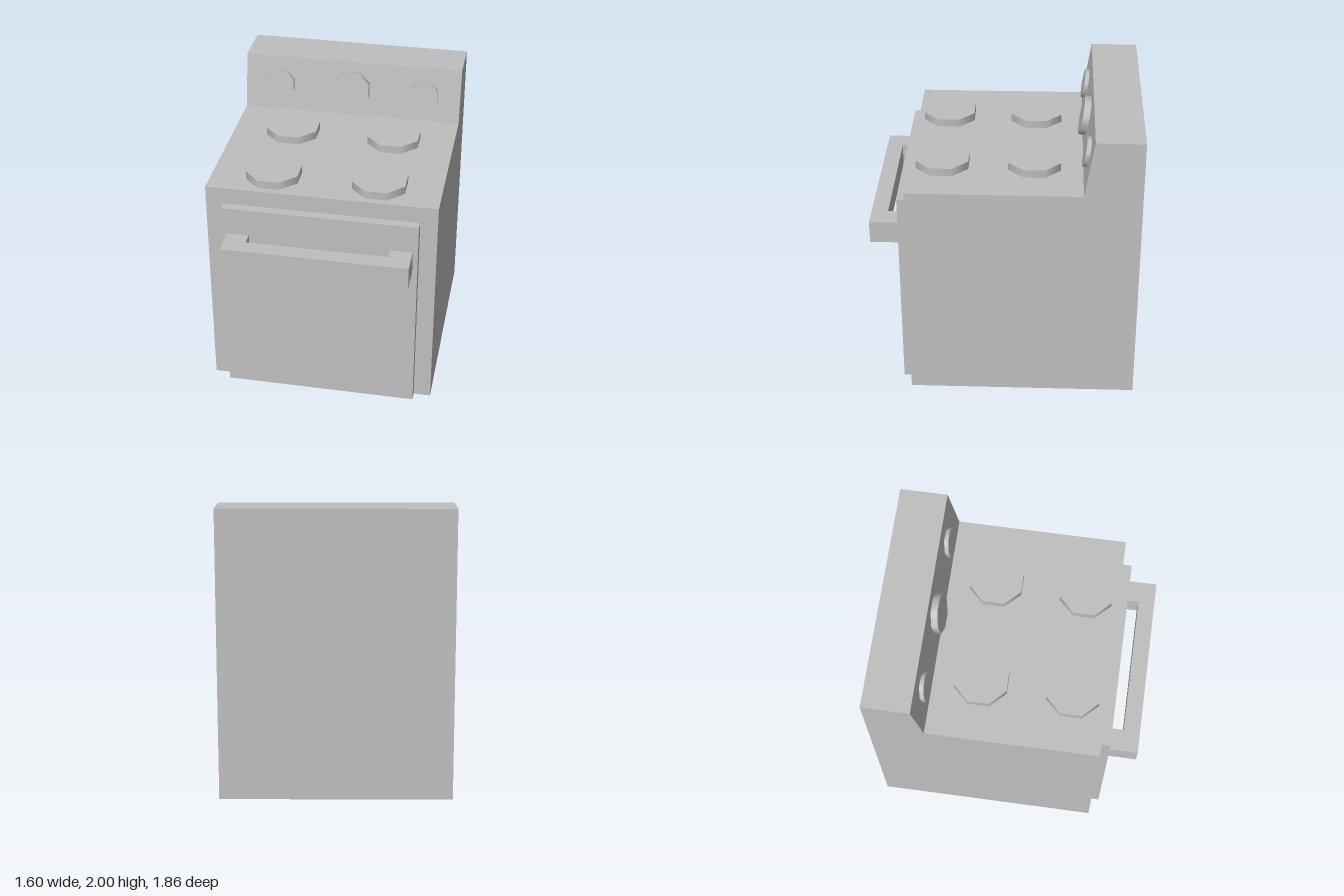
import * as THREE from 'three';

const gray = new THREE.MeshStandardMaterial({ color: 0xbfbfbf });
gray.name = 'light gray';

// Flat outline pushed straight through to the given depth
function extrude(points, depth) {
  const shape = new THREE.Shape(points.map(([x, y]) => new THREE.Vector2(x, y)));
  return new THREE.ExtrudeGeometry(shape, { depth, bevelEnabled: false });
}

// Eight-sided disc resting on y = 0, flats facing the axes; size is measured across the flats
function disc(size, height) {
  const radius = size / 2 / Math.cos(Math.PI / 8);
  return new THREE.CylinderGeometry(radius, radius, height, 8)
    .rotateY(Math.PI / 8)
    .translate(0, height / 2, 0);
}

export function createModel() {
  const model = new THREE.Group();
  model.name = 'stove';
  const add = (name, geometry, x = 0, y = 0, z = 0) => {
    const mesh = new THREE.Mesh(geometry, gray);
    mesh.name = name;
    mesh.position.set(x, y, z);
    model.add(mesh);
    return mesh;
  };

  // Body and sloped control panel: side profile (z, y) extruded across the width
  const profile = [[-0.93, 0], [0.665, 0], [0.665, 1.6], [-0.535, 1.6], [-0.6, 2], [-0.93, 2]];
  add('body', extrude(profile, 1.6).rotateY(-Math.PI / 2), 0.8);

  // Oven door
  add('ovenDoor', new THREE.BoxGeometry(1.36, 1.48, 0.065), 0, 0.74, 0.6975);

  // Door handle: U-shaped outline (x, z) extruded downward
  const handle = [[-0.645, 0.73], [-0.49, 0.73], [-0.49, 0.815], [0.49, 0.815],
    [0.49, 0.73], [0.645, 0.73], [0.645, 0.93], [-0.645, 0.93]];
  add('doorHandle', extrude(handle, 0.16).rotateX(Math.PI / 2), 0, 1.28);

  // Four burners
  for (const x of [-0.37, 0.37]) {
    for (const z of [-0.2, 0.435]) add('burner', disc(0.363, 0.057), x, 1.6, z);
  }

  // Knobs and central dial, square to the sloped panel
  const slope = Math.atan2(0.065, 0.4);
  const panelZ = (y) => -0.535 - (y - 1.6) * (0.065 / 0.4);
  for (const [name, x, size, depth] of [
    ['knob', -0.537, 0.195, 0.03], ['dial', 0, 0.255, 0.047], ['knob', 0.537, 0.195, 0.03],
  ]) {
    add(name, disc(size, depth), x, 1.8, panelZ(1.8)).rotation.x = Math.PI / 2 - slope;
  }

  return model;
}
